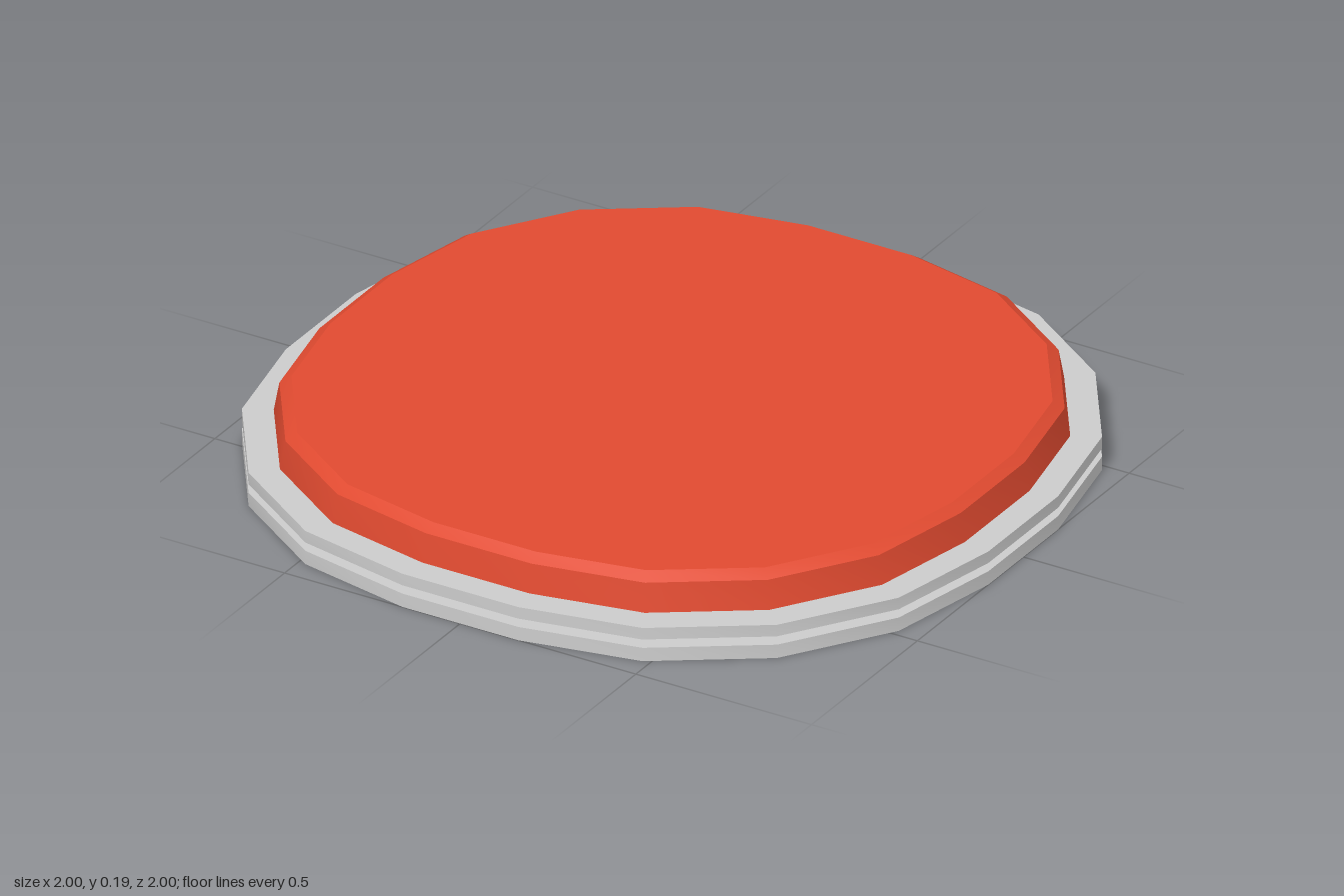
import * as THREE from 'three';
import { toCreasedNormals } from 'three/addons/utils/BufferGeometryUtils.js';

// Rounded-square outline: one quadrant of five corners, turned four times
const QUADRANT = [[0.165, 1], [0.48, 0.935], [0.752, 0.752], [0.935, 0.48], [1, 0.165]];
const OUTLINE = [];
for (let q = 0; q < 4; q++) {
  for (const [x, z] of QUADRANT) {
    const p = new THREE.Vector2(x, z);
    for (let k = 0; k < q; k++) p.set(p.y, -p.x);
    OUTLINE.push(p);
  }
}

// Sweep a [scale, height] profile round the outline
function sweep(name, color, profile) {
  const points = profile.map(([s, y]) => new THREE.Vector2(s, y));
  const geometry = new THREE.LatheGeometry(points, OUTLINE.length);
  const pos = geometry.attributes.position;
  for (let i = 0; i < pos.count; i++) {
    const corner = OUTLINE[Math.floor(i / points.length) % OUTLINE.length];
    const [s, y] = profile[i % points.length];
    pos.setXYZ(i, corner.x * s, y, corner.y * s);
  }
  const mesh = new THREE.Mesh(
    toCreasedNormals(geometry, THREE.MathUtils.degToRad(25)),
    new THREE.MeshStandardMaterial({ color })
  );
  mesh.name = name;
  return mesh;
}

export function createModel() {
  const group = new THREE.Group();
  group.name = 'roundButton';

  // Base: two plates with a recessed groove between them
  group.add(sweep('base', 0xcccccc, [
    [0, 0], [1, 0], [1, 0.037], [0.957, 0.037],
    [0.957, 0.06], [1, 0.06], [1, 0.092], [0, 0.092],
  ]));

  // Raised cap with a bevelled rim
  group.add(sweep('cap', 0xe04a30, [
    [0.926, 0.092], [0.913, 0.168], [0.885, 0.187], [0, 0.187],
  ]));

  return group;
}
